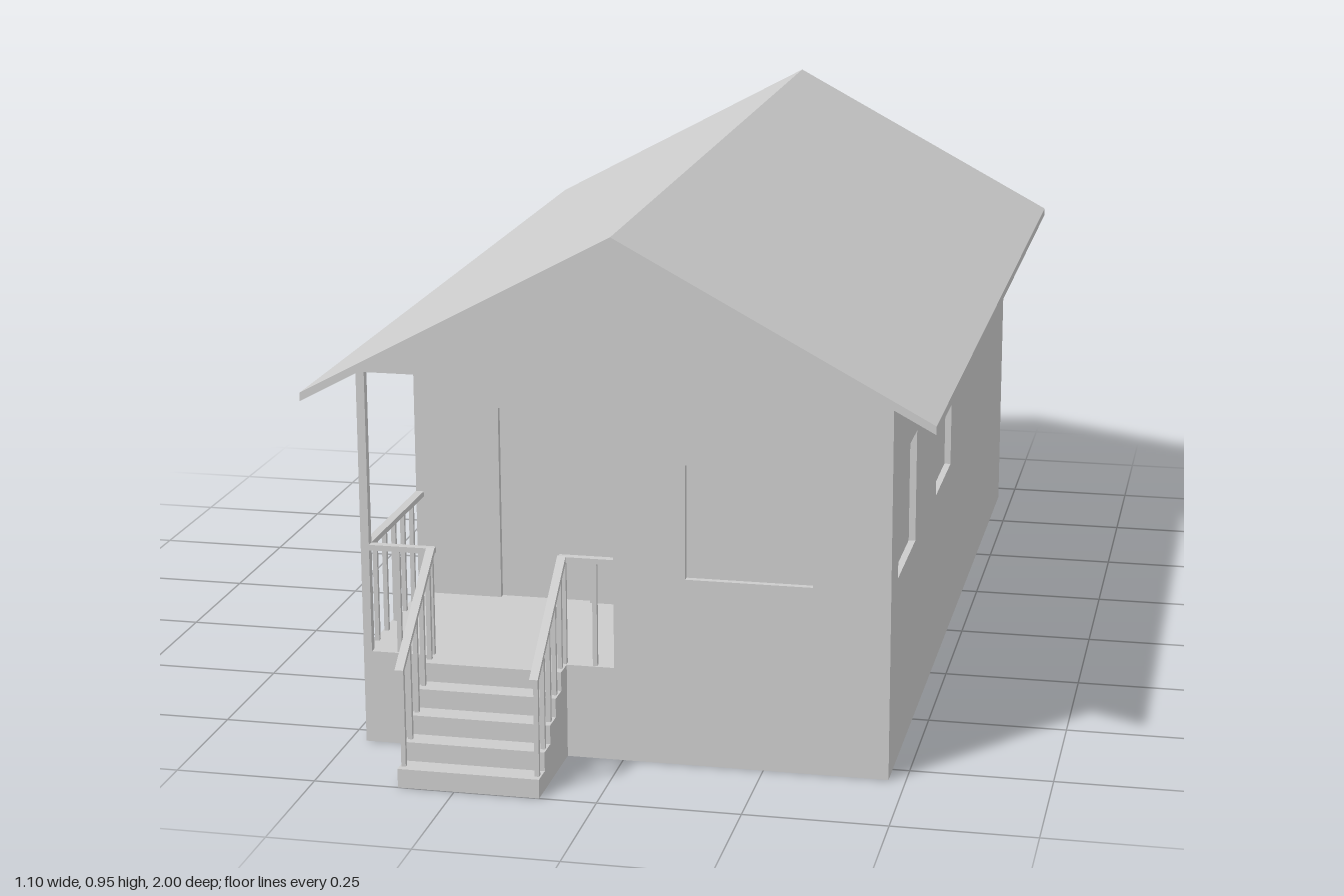
import * as THREE from 'three';

const mat = new THREE.MeshStandardMaterial({ color: 0xcccccc, flatShading: true, side: THREE.DoubleSide });
const T = 0.012; // wall thickness
const FLOOR = 0.17, EAVE = 0.683, RIDGE = 0.935;
const FRONT = 0.8, BACK = -0.93, HALF = 0.47;
const PORCH_BACK = 0.465, PORCH_SIDE = -0.015;

function add(parent, name, geo) {
  const mesh = new THREE.Mesh(geo, mat);
  mesh.name = name;
  parent.add(mesh);
  return mesh;
}

// Box given by its minimum and maximum corners
function box(parent, name, a, b) {
  const size = b.map((v, i) => v - a[i]);
  const mesh = add(parent, name, new THREE.BoxGeometry(...size));
  mesh.position.set(...b.map((v, i) => (v + a[i]) / 2));
  return mesh;
}

const toPoints = pts => pts.map(p => new THREE.Vector2(p[0], p[1]));
const rect = (x0, y0, x1, y1) => [[x0, y0], [x1, y0], [x1, y1], [x0, y1]];

function extrude(pts, depth, holes = []) {
  const shape = new THREE.Shape(toPoints(pts));
  for (const h of holes) shape.holes.push(new THREE.Path(toPoints(h)));
  return new THREE.ExtrudeGeometry(shape, { depth, bevelEnabled: false });
}

// Wall with its outer face at a distance from the centre, turned by an angle.
// Openings are cut through; recesses are cut and closed by a set-back panel.
function wall(parent, name, pts, angle, distance, { openings = [], recesses = [], panel = 'windowPane' } = {}) {
  const g = new THREE.Group();
  g.name = name + 'Group';
  g.rotation.y = angle;
  const holes = [...openings, ...recesses].map(r => rect(...r));
  add(g, name, extrude(pts, T, holes)).position.z = distance - T;
  for (const [x0, y0, x1, y1] of recesses) {
    box(g, panel, [x0 - 0.004, y0 - 0.004, distance - T - 0.004], [x1 + 0.004, y1 + 0.004, distance - T]);
  }
  parent.add(g);
}

function buildWalls(house) {
  const Q = Math.PI / 2;
  // Front gable, open at the porch and behind the stairs
  wall(house, 'frontWall', [
    [-HALF, 0], [-0.35, 0], [-0.35, 0.162], [-0.1, 0.162], [-0.1, 0],
    [HALF, 0], [HALF, EAVE], [0, RIDGE], [-HALF, EAVE],
  ], 0, FRONT, {
    openings: [[-0.455, FLOOR, PORCH_SIDE, 0.68]],
    recesses: [[0.112, 0.34, 0.335, 0.545]],
  });
  // Back gable
  wall(house, 'backWall', [[-HALF, 0], [HALF, 0], [HALF, EAVE], [0, RIDGE], [-HALF, EAVE]],
    Math.PI, -BACK, { recesses: [[-0.336, 0.445, -0.235, 0.545], [0, 0.34, 0.335, 0.545]] });
  // Long sides
  wall(house, 'leftWall', rect(-FRONT + T, 0, -BACK - T, EAVE), Q, HALF,
    { recesses: [[-0.72, 0.34, -0.5, 0.545], [-0.215, 0.34, 0.005, 0.545]] });
  wall(house, 'rightWall', rect(BACK + T, 0, FRONT - T, EAVE), -Q, HALF, {
    openings: [[PORCH_BACK, FLOOR, 0.785, 0.678]],
    recesses: [[0.074, 0.34, 0.294, 0.545]],
  });
  // Porch walls: the door wall and the short return wall
  wall(house, 'porchBackWall', rect(-HALF + T, FLOOR - 0.008, PORCH_SIDE, 0.68), 0, PORCH_BACK,
    { recesses: [[-0.31, FLOOR, -0.14, 0.535]], panel: 'door' });
  wall(house, 'porchSideWall', rect(PORCH_BACK - T, FLOOR, FRONT - T, 0.68), -Q, -PORCH_SIDE);
}

function buildStairs(house) {
  const stairs = new THREE.Group();
  stairs.name = 'stairs';
  const N = 5, run = 0.04, rise = FLOOR / N, t = 0.005;
  const profile = [[-1, 0]];
  for (let i = 0; i < N; i++) {
    const z = 1 - i * run, y = (i + 1) * rise;
    box(stairs, 'tread', [-0.344, y - t, z - run], [-0.106, y, z]);
    box(stairs, 'riser', [-0.344, y - rise, z - t], [-0.106, y - t, z]);
    profile.push([-z, y], [-z + run, y]);
  }
  profile.push([-FRONT, 0]);
  const rail = [[-1, 0.203], [-0.8, 0.357], [-0.8, 0.369], [-1, 0.213]];
  for (const [panelX, railX] of [[-0.35, -0.343], [-0.106, -0.107]]) {
    // Stepped side panel and sloping handrail
    const side = add(stairs, 'stairSide', extrude(profile, 0.006));
    side.rotation.y = Math.PI / 2;
    side.position.x = panelX;
    const hand = add(stairs, 'stairHandrail', extrude(rail, 0.015));
    hand.rotation.y = Math.PI / 2;
    hand.position.x = railX - 0.0075;
    // One baluster on each tread
    for (let i = 0; i < N; i++) {
      const z = 0.983 - i * run * 1.03;
      const top = 0.207 + (1 - z) * 0.775;
      box(stairs, 'stairBaluster', [railX - 0.004, (i + 1) * rise, z - 0.004], [railX + 0.004, top, z + 0.004]);
    }
  }
  house.add(stairs);
}

function buildPorchRails(house) {
  const rails = new THREE.Group();
  rails.name = 'porchRails';
  const y0 = 0.357, y1 = 0.367, r = 0.004, zf = 0.792, xs = -0.463;
  box(rails, 'cornerPost', [-HALF, FLOOR, 0.785], [-0.455, 0.68, FRONT - 0.0005]);
  // Front rails on both sides of the stairs
  box(rails, 'frontRail', [-0.462, y0, zf - 0.0075], [-0.337, y1, zf + 0.0075]);
  box(rails, 'frontRail', [-0.114, y0, zf - 0.0075], [PORCH_SIDE, y1, zf + 0.0075]);
  for (const x of [-0.405, -0.345, -0.105, -0.05])
    box(rails, 'frontBaluster', [x - r, FLOOR, zf - r], [x + r, y0, zf + r]);
  // Side rail
  box(rails, 'sideRail', [xs - 0.0075, y0, PORCH_BACK], [xs + 0.0075, y1, 0.79]);
  for (let i = 1; i <= 5; i++) {
    const z = PORCH_BACK + i * 0.055;
    box(rails, 'sideBaluster', [xs - r, FLOOR, z - r], [xs + r, y0, z + r]);
  }
  house.add(rails);
}

export function createModel() {
  const house = new THREE.Group();
  house.name = 'house';

  buildWalls(house);

  // Raised floor and porch ceiling
  box(house, 'floor', [-HALF + T, FLOOR - 0.008, BACK + T], [HALF - T, FLOOR, FRONT - T]);
  box(house, 'porchCeiling', [-HALF + T, 0.68, PORCH_BACK - T], [PORCH_SIDE + T, 0.684, FRONT - T]);

  // Gabled roof with overhanging edges
  const roof = add(house, 'roof', extrude([
    [-0.55, 0.64], [0, RIDGE], [0.55, 0.64], [0.55, 0.655], [0, 0.95], [-0.55, 0.655],
  ], 1.865));
  roof.position.z = -1;

  buildStairs(house);
  buildPorchRails(house);
  return house;
}
